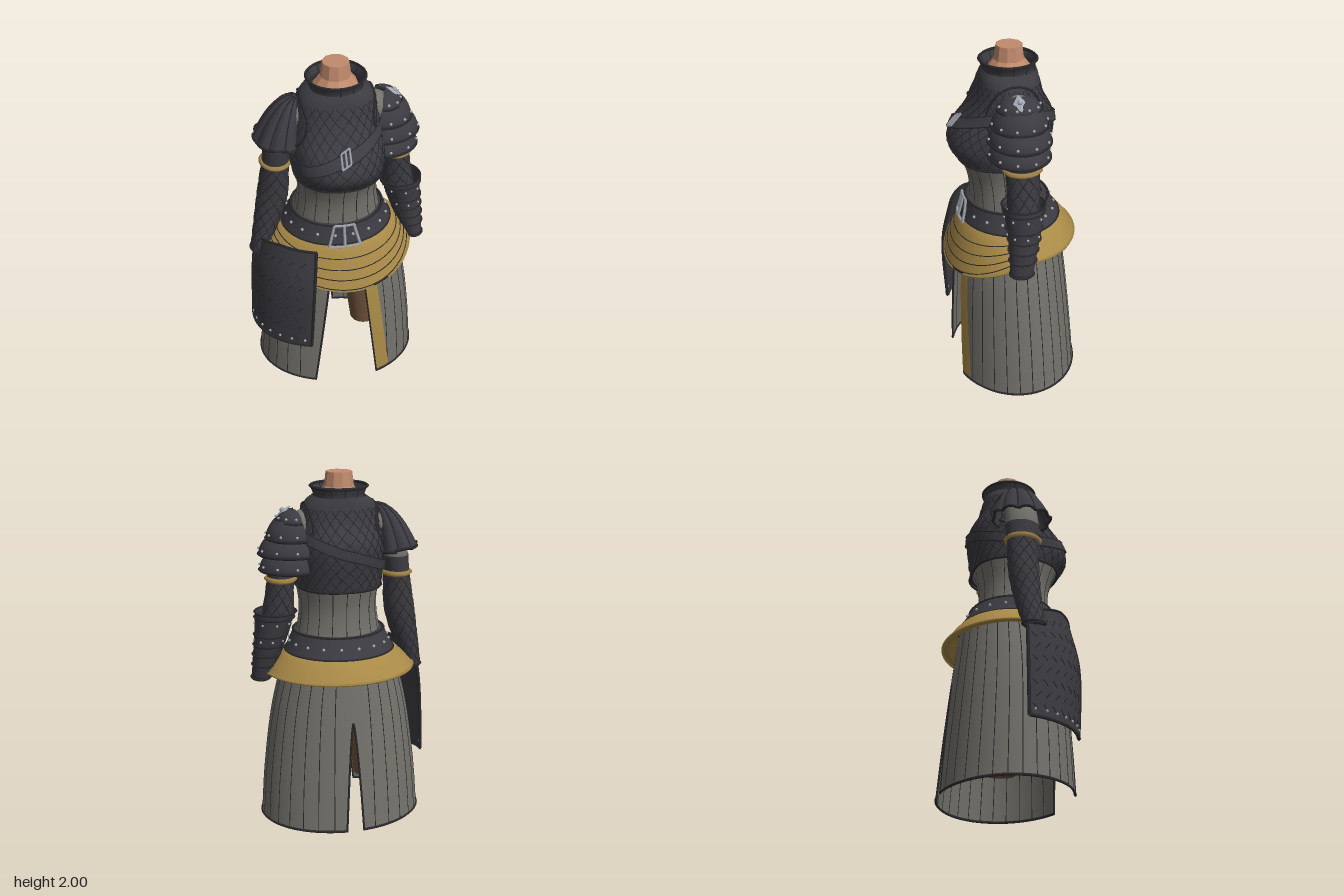
import * as THREE from 'three';
import { mergeVertices, mergeGeometries } from 'three/addons/utils/BufferGeometryUtils.js';

const mat = (name, color) => new THREE.MeshStandardMaterial({ name, color, side: THREE.DoubleSide });
const { sin, cos, asin, PI, max, min, abs, pow, sign } = Math;
const V = (x, y, z) => new THREE.Vector3(x, y, z);
const lerp = THREE.MathUtils.lerp;

// Smooth body section: rows of [y, centre x, half width, front z, back z]; angle 0 is the front, +90 degrees is +x
function section(rows, power = 1) {
  const curve = new THREE.CubicInterpolant(rows.map(r => r[0]), rows.flatMap(r => r.slice(1)), 4, new Float32Array(4));
  return (a, y, off = 0) => {
    const [cx, rx, zf, zb] = curve.evaluate(y);
    const bend = s => sign(s) * pow(abs(s), power);
    return V(cx + (rx + off) * bend(sin(a)), y, (zf + zb) / 2 + ((zf - zb) / 2 + off) * bend(cos(a)));
  };
}

// Smooth grid surface from a point rule f(u, v)
function sheetGeo(f, nu, nv) {
  const pos = [], idx = [];
  for (let j = 0; j <= nv; j++) for (let i = 0; i <= nu; i++) pos.push(...f(i / nu, j / nv).toArray());
  for (let j = 0; j < nv; j++) for (let i = 0; i < nu; i++) {
    const a = j * (nu + 1) + i, b = a + nu + 1;
    idx.push(a, a + 1, b, a + 1, b + 1, b);
  }
  let g = new THREE.BufferGeometry();
  g.setAttribute('position', new THREE.Float32BufferAttribute(pos, 3));
  g.setIndex(idx);
  g = mergeVertices(g, 1e-5);
  g.computeVertexNormals();
  return g;
}
const range = (n, f) => Array.from({ length: n }, (_, i) => f(i));
const tube = (f, n, r, closed = false) =>
  new THREE.TubeGeometry(new THREE.CatmullRomCurve3(range(closed ? n : n + 1, i => f(i / n)), closed), n, r, 4, closed);
const stud = (p, r = 0.009) => new THREE.SphereGeometry(r, 8, 6).translate(p.x, p.y, p.z);

export function createModel() {
  const root = new THREE.Group();
  const dark = mat('darkLeather', 0x3c3b41), trim = mat('blackTrim', 0x2b2b2f), grey = mat('greyCloth', 0x73716a),
    gold = mat('goldCloth', 0xa98a47), silver = mat('silver', 0xa3a9b2), skin = mat('skin', 0xc08a6c), brown = mat('brownLeggings', 0x6e5239);
  const add = (name, geo, m) => {
    const mesh = new THREE.Mesh(Array.isArray(geo) ? mergeGeometries(geo) : geo, m);
    mesh.name = name;
    root.add(mesh);
    return mesh;
  };
  const wrap = (s, y0, y1, off = 0, nv = 14) => sheetGeo((u, v) => s(-PI + u * 2 * PI, lerp(y0, y1, v), off), 48, nv);
  const hoop = (s, y, r, off = 0) => tube(t => s(t * 2 * PI, y, off), 36, r, true);
  // Crossed diagonal stitching over a section
  const quilt = (s, y0, y1, n, twist, r) => [1, -1].flatMap(d => range(n, i =>
    tube(t => s((i + 0.5) / n * 2 * PI + d * twist * (t - 0.5), lerp(y0, y1, t), 0.001), 16, r)));

  // Neck
  add('neck', (() => {
    const g = new THREE.LatheGeometry([[0.13, 1.84], [0.122, 1.87], [0.083, 1.92], [0.073, 2], [0, 2]].map(p => new THREE.Vector2(...p)), 10).toNonIndexed();
    g.computeVertexNormals();
    return g;
  })(), skin);

  // Corset and shoulders
  const waist = section([[1.05, 0, 0.25, 0.23, -0.19], [1.12, 0, 0.235, 0.225, -0.175], [1.25, 0, 0.22, 0.235, -0.17], [1.4, 0, 0.24, 0.29, -0.2]]);
  add('corset', wrap(waist, 1.05, 1.4), grey);
  add('corsetSeams', range(18, i => tube(t => waist(i / 18 * 2 * PI, lerp(1.1, 1.37, t)), 6, 0.002)), trim);
  for (const s of [1, -1]) add('shoulder', new THREE.SphereGeometry(1, 20, 14).scale(0.085, 0.1, 0.09).translate(s * 0.215, 1.695, 0), grey);

  // Quilted chest piece
  const chest = section([[1.36, 0, 0.24, 0.285, -0.21], [1.45, 0, 0.25, 0.342, -0.225], [1.55, 0, 0.252, 0.315, -0.238],
    [1.63, 0, 0.245, 0.25, -0.232], [1.73, 0, 0.225, 0.195, -0.18], [1.81, 0, 0.205, 0.17, -0.16], [1.85, 0, 0.175, 0.158, -0.152], [1.87, 0, 0.145, 0.145, -0.145]], 0.86);
  add('chestPiece', wrap(chest, 1.36, 1.87, 0, 24), dark);
  add('chestStitching', quilt(chest, 1.37, 1.81, 26, 1.4, 0.0024), trim);
  add('chestHem', hoop(chest, 1.365, 0.009), trim);
  add('armholeTrim', [1, -1].map(s => tube(t => chest(s * (PI / 2 + 0.75 * cos(t * 2 * PI)), 1.7 + 0.13 * sin(t * 2 * PI), 0.002), 28, 0.008, true)), trim);

  // Diagonal chest strap with buckle
  const strapY = a => 1.575 + 0.1 * sin(a);
  add('chestStrap', sheetGeo((u, v) => { const a = u * 2 * PI; return chest(a, strapY(a) + (v - 0.5) * 0.055, 0.012); }, 64, 2), dark);
  add('chestStrapEdges', [-0.028, 0.028].map(d => tube(t => chest(t * 2 * PI, strapY(t * 2 * PI) + d, 0.011), 64, 0.004, true)), trim);
  // Buckle frame with a prong; top narrows or widens it, tilt leans it
  const frame = (s, y, w, h, off, top, tilt, r) => [[-1, -1, 1, -1], [1, -1, top, 1], [top, 1, -top, 1], [-top, 1, -1, -1], [0, -1, 0, 1]]
    .map(([a, b, c, d]) => tube(t => s(lerp(a, c, t) * w, y + lerp(b, d, t) * h + lerp(a, c, t) * tilt, off), 4, r));
  add('chestBuckle', frame(chest, 1.585, 0.06, 0.033, 0.02, 1, 0.012, 0.006), silver);

  // Collar
  const collar = section([[1.83, 0, 0.15, 0.155, -0.155], [1.87, 0, 0.14, 0.145, -0.14], [1.92, 0, 0.158, 0.16, -0.15]]);
  add('collar', wrap(collar, 1.83, 1.92), dark);
  add('collarTrim', [hoop(collar, 1.92, 0.009), hoop(collar, 1.855, 0.006),
    ...range(12, i => tube(t => collar(i / 6 * PI, lerp(1.85, 1.92, t)), 3, 0.003))], trim);

  // Belt
  const belt = section([[0.99, 0, 0.315, 0.28, -0.285], [1.05, 0, 0.285, 0.262, -0.25], [1.105, 0, 0.26, 0.25, -0.22]]);
  add('belt', [wrap(belt, 0.99, 1.105, 0, 5), sheetGeo((u, v) => belt(u * 2 * PI, 1.105, -0.03 * v), 48, 1)], dark);
  add('beltTrim', [hoop(belt, 0.995, 0.007), hoop(belt, 1.105, 0.008)], trim);
  add('beltStuds', range(18, i => stud(belt((i + 0.5) / 9 * PI, 1.048, 0.002))), silver);
  add('beltBuckle', frame(belt, 1.053, 0.27, 0.062, 0.016, 0.75, 0, 0.0085), silver);

  // Gold sash, dipping at the front
  const hem = a => 0.885 - 0.16 * pow(max(0, cos(a - 0.2)), 1.3);
  const sash = (a, v, off = 0) => {
    const k = pow(1 - v, 0.75);
    const front = lerp(0.275, 0.375, k), back = lerp(0.275, 0.37, k);
    return V((lerp(0.305, 0.43, k) + off) * sin(a), lerp(hem(a), 1, v), (front - back) / 2 + ((front + back) / 2 + off) * cos(a));
  };
  add('sash', [sheetGeo((u, v) => sash(u * 2 * PI, v), 64, 12),
    sheetGeo((u, v) => { const p = sash(u * 2 * PI, 0); return p.multiply(V(1 - 0.1 * v, 1, 1 - 0.1 * v)); }, 64, 1)], gold);
  add('sashHem', tube(t => sash(t * 2 * PI, 0), 64, 0.007, true), gold);
  add('sashFolds', [0.03, 0.24, 0.46, 0.7].map(v => tube(t => sash(lerp(-1.5, 1.6, t), v + 0.25 * pow(abs(t - 0.5) * 2, 3) * (1 - v)), 32, 0.0035)), trim);
  add('sashClasp', tube(t => sash(lerp(0.36, 0.6, t), 0.03, 0.004), 6, 0.008), trim);

  // Skirt in two halves, open at the front and split at the back
  const skirt = section([[0, 0, 0.465, 0.35, -0.382], [0.3, 0, 0.442, 0.338, -0.355], [0.7, 0, 0.385, 0.312, -0.312], [0.98, 0, 0.31, 0.27, -0.275]]);
  const width = y => skirt(PI / 2, y).x;
  for (const s of [1, -1]) {
    const frontEdge = y => y > 0.74 ? 0 : asin(lerp(s > 0 ? 0.195 : 0.18, s > 0 ? 0.11 : 0.09, y / 0.74) / width(y));
    const backEdge = y => PI - asin(0.05 * pow(max(0, 1 - y / 0.64), 0.7) / width(y));
    const panel = (u, y, off) => skirt(s * lerp(frontEdge(y), backEdge(y), u), y, off);
    const side = s > 0 ? 'left' : 'right';
    add(side + 'Skirt', sheetGeo((u, v) => panel(s > 0 ? u : 1 - u, v * 0.98), 40, 50), grey);
    add(side + 'SkirtSeams', range(12, i => tube(t => skirt(s * lerp(0.62, 2.88, i / 11), lerp(0.01, 0.92, t)), 16, 0.0025)), trim);
    add(side + 'SkirtHem', [tube(t => panel(t, 0.006), 40, 0.008), tube(t => panel(0, lerp(0, 0.73, t)), 20, 0.006),
      tube(t => panel(1, lerp(0, 0.64, t)), 24, 0.006)], trim);
    if (s > 0) add('goldSkirtStrip', sheetGeo((u, v) => {
      const y = lerp(0.03, 0.73, v);
      return skirt(frontEdge(y) + u * 0.19, y, 0.008);
    }, 4, 20), gold);

    // Leggings
    const leg = add(side + 'Leg', new THREE.CylinderGeometry(0.115, 0.088, 0.6, 20), brown);
    leg.position.set(s * 0.157, 0.5, 0);
    leg.rotation.z = s * 0.08;

    // Arms
    const arm = section([[0.84, s * 0.452, 0.046, 0.085, -0.03], [1, s * 0.405, 0.068, 0.08, -0.06], [1.2, s * 0.358, 0.084, 0.08, -0.085],
      [1.42, s * 0.335, 0.072, 0.088, -0.09], [1.55, s * 0.315, 0.08, 0.095, -0.095], [1.74, s * 0.27, 0.07, 0.08, -0.08]]);
    add(side + 'UpperSleeve', wrap(arm, 1.5, 1.74), grey);
    add(side + 'Sleeve', [wrap(arm, 0.84, 1.52, 0.003, 20), sheetGeo((u, v) => arm(u * 2 * PI, 0.84, -0.044 * v), 24, 1)], dark);
    add(side + 'SleeveStitching', quilt(arm, 0.86, 1.4, 9, 4.2, 0.0045), trim);
    add(side + 'ArmBand', hoop(arm, 1.418, 0.015, 0.005), gold);
    add(side + 'Cuff', hoop(arm, 0.85, 0.009, 0.002), trim);
  }
  add('hips', new THREE.SphereGeometry(1, 24, 14).scale(0.24, 0.14, 0.2).translate(0, 0.82, 0), brown);

  // Left bracer
  const bracer = section([[0.83, 0.455, 0.05, 0.09, -0.035], [0.95, 0.43, 0.07, 0.09, -0.06], [1.08, 0.402, 0.088, 0.095, -0.09], [1.23, 0.368, 0.115, 0.115, -0.115]]);
  add('bracer', wrap(bracer, 0.83, 1.23), dark);
  add('bracerBands', [0.84, 0.92, 0.98, 1.04, 1.1, 1.2, 1.23].map(y => hoop(bracer, y, 0.006, 0.003)), trim);
  add('bracerStuds', [1.07, 1.17].flatMap(y => range(8, i => stud(bracer(i / 4 * PI, y, 0.002), 0.007))), silver);

  // Right shoulder fan plate
  const fan = (u, t, off = 0) => {
    const a = lerp(-2.35, 2.35, u), ridge = abs(sin(u * 7 * PI)), r = 1 + t * 0.09 * (ridge - 0.5);
    return V(lerp(-0.21, -0.315 - 0.13 * r * cos(a), t), 1.815 - lerp(0.24, 0.265, u * (1 - u) < 0.1 ? 1 : 0.2) * pow(t, 2.1) + off + 0.012 * t * ridge,
      lerp(0, 0.162 * r * sin(a), pow(t, 0.85)));
  };
  add('fanPauldron', sheetGeo((u, v) => fan(u, lerp(0.03, 1, v)), 56, 12), dark);
  add('fanPauldronTrim', [tube(t => fan(t, 1), 56, 0.009), ...range(8, i => tube(t => fan(i / 7, lerp(0.08, 1, t), 0.002), 8, 0.005))], trim);

  // Left shoulder of overlapping plates: [lower y, outer x, half depth]
  const lames = [[1.735, 0.355, 0.115], [1.645, 0.412, 0.15], [1.56, 0.455, 0.168], [1.47, 0.45, 0.165]];
  lames.forEach(([y, x, d], i) => {
    const lame = (a, v, off = 0) => {
      const k = i === 0 ? cos(v * 1.45) : 1 - 0.3 * v * v;
      return V(0.26 + (x - 0.26 + off) * k * cos(a), y + (i === 0 ? 0.068 * sin(v * 1.57) : 0.1 * v), (d + off) * k * sin(a));
    };
    const A = 1.85;
    add('pauldronPlate' + (i + 1), sheetGeo((u, v) => lame(lerp(A, -A, u), v), 28, 8), dark);
    add('pauldronEdge' + (i + 1), tube(t => lame(lerp(A, -A, t), 0), 28, 0.009), trim);
    add('pauldronStuds' + (i + 1), range(6, j => stud(lame(lerp(-1.5, 1.5, j / 5), 0.25, 0.003), 0.008)), silver);
  });
  add('pauldronDiamond', [new THREE.OctahedronGeometry(1).scale(0.055, 0.014, 0.036).rotateZ(-0.6).translate(0.313, 1.79, 0.01).deleteAttribute('uv'),
    stud(V(0.318, 1.798, 0.01), 0.015).toNonIndexed().deleteAttribute('uv')], silver);

  // Right hip panel
  const hip = section([[0.3, 0, 0.503, 0.375, -0.375], [0.75, 0, 0.482, 0.388, -0.385], [0.99, 0, 0.445, 0.335, -0.33]]);
  const hipPoint = (u, v, off = 0) => hip(lerp(-1.62, lerp(-0.42, -0.38, v), u), lerp(0.31 - 0.01 * sin(u * PI), lerp(0.92, 0.985, min(1, u * 1.8)), v), off);
  add('hipPanel', [sheetGeo((u, v) => hipPoint(u, v), 24, 20), sheetGeo((u, v) => hipPoint(1 - u, v, -0.012), 24, 20)], dark);
  add('hipPanelTrim', [tube(t => hipPoint(t, 0), 24, 0.01), tube(t => hipPoint(t, 1), 24, 0.008),
    tube(t => hipPoint(0, t), 16, 0.01), tube(t => hipPoint(1, t), 16, 0.009)], trim);
  add('hipPanelStitching', range(8, j => range(7, i => {
    const u = (i + 0.6 + (j % 2) * 0.3) / 8, v = (j + 0.8) / 9, d = j % 2 ? 1 : -1;
    return tube(t => hipPoint(u + d * (t - 0.5) * 0.06, v + (t - 0.5) * 0.05, 0.001), 2, 0.003);
  })).flat(), trim);
  add('hipPanelStuds', range(7, i => stud(hipPoint((i + 0.5) / 7, 0.06, 0.003), 0.008)), silver);

  return root;
}
